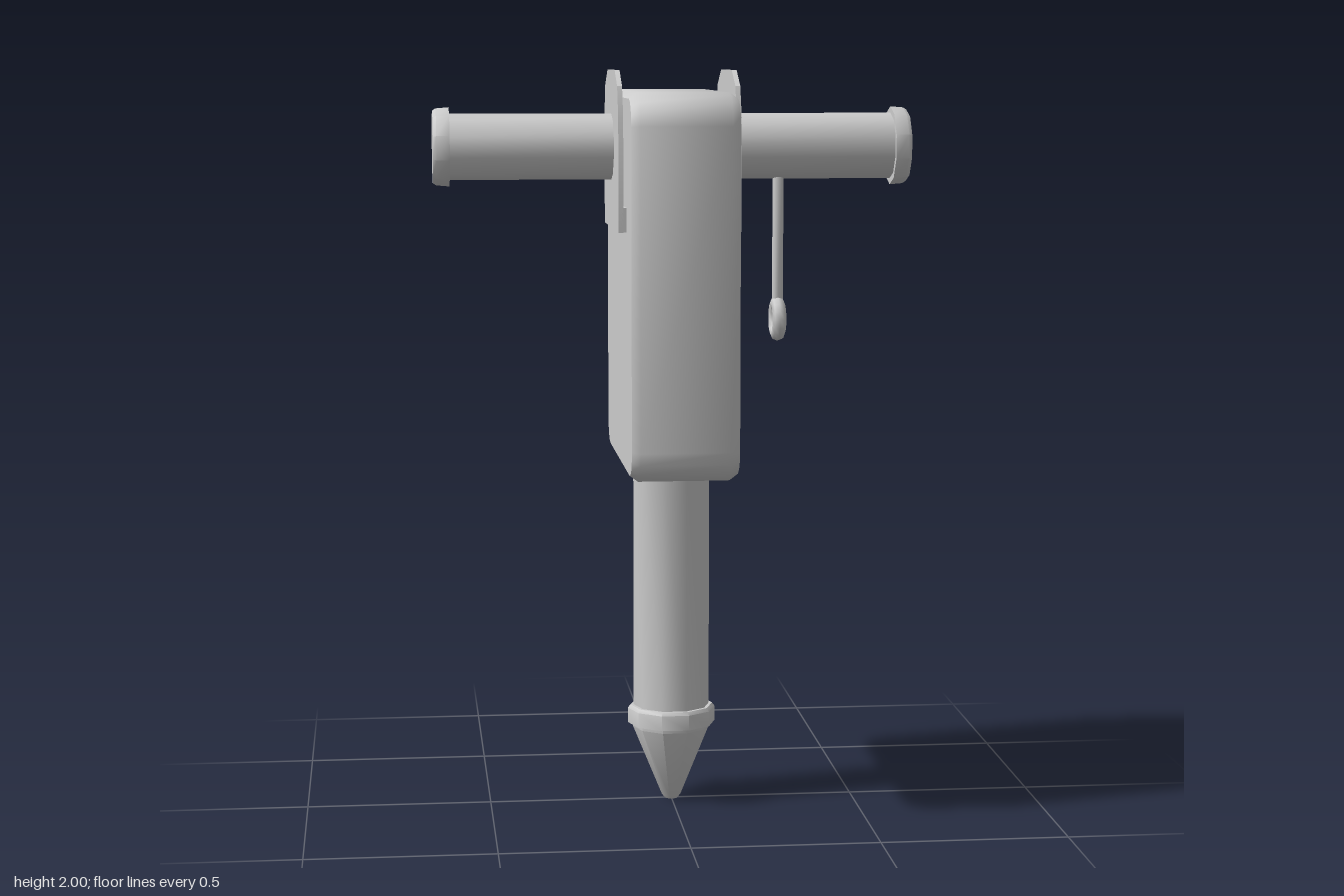
import * as THREE from 'three';
import { toCreasedNormals } from 'three/addons/utils/BufferGeometryUtils.js';

const SIDES = 10;

export function createModel() {
  const group = new THREE.Group();
  const material = new THREE.MeshStandardMaterial({ color: 0xcccccc });

  function add(name, geometry, crease = 0.7) {
    const mesh = new THREE.Mesh(toCreasedNormals(geometry, crease), material);
    mesh.name = name;
    group.add(mesh);
    return mesh;
  }

  // Ten-sided solid turned from [radius, height] pairs, listed upwards, with a corner on +x
  function turned(profile) {
    const points = profile.map(([r, y]) => new THREE.Vector2(r, y));
    return new THREE.LatheGeometry(points, SIDES, Math.PI / 2);
  }

  // Outline drawn in (z, y), given thickness along x and centred on x = 0
  function slab(shape, thickness, bevelSize = 0, bevelThickness = 0) {
    const depth = thickness - 2 * bevelThickness;
    const geometry = new THREE.ExtrudeGeometry(shape, {
      depth,
      bevelEnabled: bevelSize > 0,
      bevelThickness,
      bevelSize,
      bevelOffset: -bevelSize,
      bevelSegments: 1,
      curveSegments: 2,
    });
    geometry.translate(0, 0, -depth / 2);
    return geometry.rotateY(Math.PI / 2);
  }

  // Body: tall slab with rounded corners and a narrow chamfer
  const [w, y0, y1, r] = [0.393, 0.935, 1.945, 0.085];
  const outline = new THREE.Shape();
  outline.moveTo(-w + r, y0);
  outline.lineTo(w - r, y0);
  outline.absarc(w - r, y0 + r, r, -Math.PI / 2, 0);
  outline.absarc(w - r, y1 - r, r, 0, Math.PI / 2);
  outline.absarc(-w + r, y1 - r, r, Math.PI / 2, Math.PI);
  outline.absarc(-w + r, y0 + r, r, Math.PI, Math.PI * 1.5);
  add('body', slab(outline, 0.282, 0.016, 0.022), 0.8);

  // Handle bar through the body, with a flared cap at each end
  const handleY = 1.797;
  const bar = turned([[0, -0.6], [0.088, -0.6], [0.088, 0.6], [0, 0.6]]);
  add('handleBar', bar.rotateZ(-Math.PI / 2)).position.y = handleY;

  const plateShape = new THREE.Shape([
    [-0.226, 1.58], [0.226, 1.58], [0.226, 1.88], [0.194, 1.96],
    [0.117, 2.0], [-0.117, 2.0], [-0.194, 1.96], [-0.226, 1.88],
  ].map(([z, y]) => new THREE.Vector2(z, y)));

  for (const side of [1, -1]) {
    const label = side > 0 ? 'left' : 'right';
    const cap = turned([[0, 0.595], [0.105, 0.595], [0.102, 0.63], [0.096, 0.639], [0, 0.639]]);
    add(label + 'HandleCap', cap.rotateZ(-side * Math.PI / 2)).position.y = handleY;

    // Side plate standing just off the body, with a lip along its lower edge
    add(label + 'Plate', slab(plateShape, 0.013), 0.5).position.x = side * 0.155;
    const lip = new THREE.BoxGeometry(0.022, 0.065, 0.452);
    add(label + 'PlateLip', lip, 0.5).position.set(side * 0.149, 1.613, 0);
  }

  // Pull cord and ring hanging from the left half of the handle
  const cord = new THREE.CylinderGeometry(0.015, 0.015, 0.37, 8);
  add('pullCord', cord, 0.9).position.set(0.29, 1.56, 0);
  const ring = new THREE.TorusGeometry(0.042, 0.019, 8, 16).rotateY(Math.PI / 2);
  add('pullRing', ring, 0.9).position.set(0.29, 1.33, 0);

  // Shaft below the body, ending in a collar and a tapered point
  add('shaft', turned([[0, 0.24], [0.104, 0.24], [0.104, 0.96], [0, 0.96]]));
  add('collar', turned([[0, 0.216], [0.12, 0.216], [0.12, 0.257], [0.113, 0.266], [0, 0.266]]));
  add('tip', turned([[0, 0], [0.018, 0], [0.026, 0.01], [0.106, 0.205], [0.106, 0.23], [0, 0.23]]));

  return group;
}
